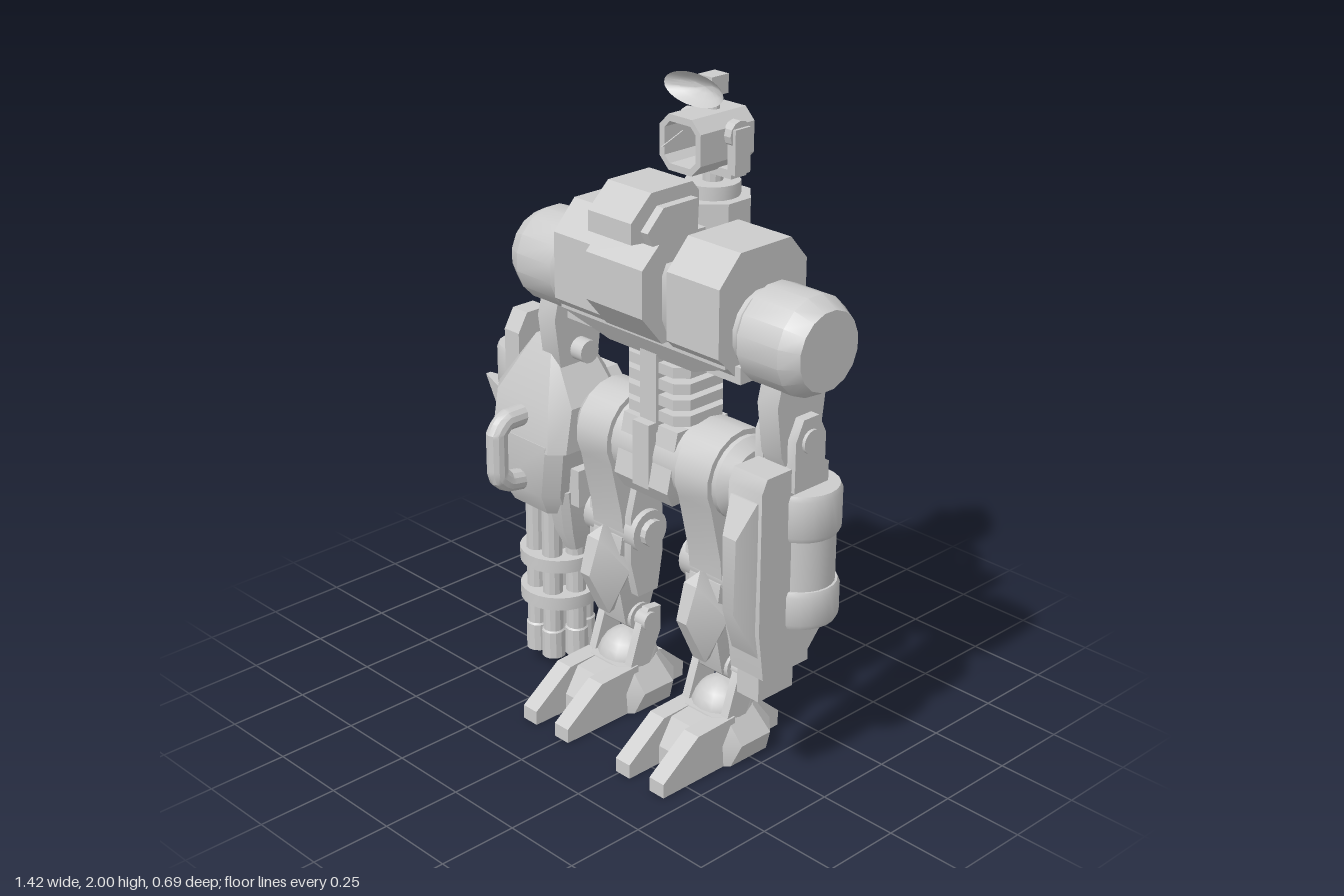
import * as THREE from 'three';
import { toCreasedNormals } from 'three/addons/utils/BufferGeometryUtils.js';
import { ConvexGeometry } from 'three/addons/geometries/ConvexGeometry.js';

const C = 0.132; // x of the body's own mirror plane
const mat = new THREE.MeshStandardMaterial({ color: 0xcccccc, side: THREE.DoubleSide });

function add(parent, name, geo, x = 0, y = 0, z = 0) {
  const m = new THREE.Mesh(toCreasedNormals(geo, 0.5), mat);
  m.name = name;
  m.position.set(x, y, z);
  parent.add(m);
  return m;
}
function group(parent, name, x = 0) {
  const g = new THREE.Group();
  g.name = name;
  g.position.x = x;
  parent.add(g);
  return g;
}
const box = (w, h, d) => new THREE.BoxGeometry(w, h, d);
const cyl = (r, h, n = 24, r2 = r) => new THREE.CylinderGeometry(r2, r, h, n);
const cylX = (r, h, n = 24) => cyl(r, h, n).rotateZ(Math.PI / 2);
const vec2 = (pts) => pts.map(([a, b]) => new THREE.Vector2(a, b));
const shapeOf = (pts) => new THREE.Shape(vec2(pts));
const hull = (pts) => new ConvexGeometry(pts.map((p) => new THREE.Vector3(...p)));

// Side profile of [z, y] points given a width along x
function prism(pts, w) {
  return new THREE.ExtrudeGeometry(shapeOf(pts), { depth: w, bevelEnabled: false })
    .translate(0, 0, -w / 2).rotateY(-Math.PI / 2);
}
// Convex solid from level sections [y, x0, x1, z0, z1, corner cut]
function loft(sections) {
  const p = [];
  for (const [y, x0, x1, z0, z1, c = 0] of sections)
    for (const [x, s] of [[x0, 1], [x1, -1]])
      for (const [z, t] of [[z0, 1], [z1, -1]]) p.push([x + s * c, y, z], [x, y, z + t * c]);
  return hull(p);
}
// Lathe of [radius, axial] points turned to lie along x
const latheX = (pts, n) => new THREE.LatheGeometry(vec2(pts), n).rotateY(Math.PI / n).rotateZ(-Math.PI / 2);
// Straight-run pipe with chamfered corners
function pipe(pts, r, n) {
  const path = new THREE.CurvePath();
  const v = pts.map((p) => new THREE.Vector3(...p));
  for (let i = 1; i < v.length; i++) path.add(new THREE.LineCurve3(v[i - 1], v[i]));
  return new THREE.TubeGeometry(path, 40, r, n, false);
}

function buildHead(root) {
  const g = group(root, 'head', C);
  const frame = shapeOf([[-0.045, -0.08], [0.045, -0.08], [0.08, -0.045], [0.08, 0.045], [0.045, 0.08], [-0.045, 0.08], [-0.08, 0.045], [-0.08, -0.045]]);
  frame.holes.push(shapeOf([[-0.04, -0.06], [-0.06, -0.04], [-0.06, 0.04], [-0.04, 0.06], [0.04, 0.06], [0.06, 0.04], [0.06, -0.04], [0.04, -0.06]]));
  add(g, 'headShell', new THREE.ExtrudeGeometry(frame, { depth: 0.19, bevelEnabled: false }), 0, 1.805, -0.2);
  add(g, 'headBack', loft([[-0.08, -0.045, 0.045, -0.03, 0.05], [-0.045, -0.08, 0.08, -0.03, 0.05], [0.045, -0.08, 0.08, -0.03, 0.05], [0.08, -0.045, 0.045, -0.03, 0.05]]), 0, 1.805, -0.19);
  add(g, 'headFin', prism([[-0.02, 1.845], [0.06, 1.815], [-0.02, 1.805]], 0.004));
  for (const s of [-1, 1]) {
    add(g, 'headBracket', box(0.03, 0.13, 0.06), s * 0.1, 1.785, -0.14);
    add(g, 'headPivot', cylX(0.04, 0.03, 12), s * 0.09, 1.83, -0.14);
  }
  add(g, 'yoke', box(0.2, 0.025, 0.06), 0, 1.72, -0.14);
  add(g, 'neck', cyl(0.03, 0.1, 12), 0, 1.7, -0.14);
  // Dish antenna, open to the front
  const dish = vec2([[0, 0], [0.04, 0.006], [0.08, 0.022], [0.115, 0.045]]);
  add(g, 'dish', new THREE.LatheGeometry(dish, 28).rotateX(Math.PI / 2).scale(1, 0.41, 1), 0, 1.952, -0.105);
  add(g, 'dishMount', box(0.055, 0.055, 0.065), 0, 1.955, -0.137);
  add(g, 'mast', cyl(0.018, 0.08, 10), 0, 1.9, -0.14);
}

function buildTorso(root) {
  const g = group(root, 'torso', C);
  const oct = [[0.165, 1.515], [0.085, 1.6], [-0.11, 1.6], [-0.175, 1.525], [-0.175, 1.315], [-0.08, 1.24], [0.09, 1.24], [0.165, 1.315]];
  const core = oct.map(([z, y]) => [z * 0.93, 1.4 + (y - 1.4) * 0.65]);
  add(g, 'torsoCore', prism(core, 0.4));
  for (const s of [-1, 1]) {
    add(g, 'shoulderBlock', prism(oct, 0.2), s * 0.23);
    // Shoulder drum with tapered ends
    const drum = latheX([[0, 0.32], [0.115, 0.32], [0.115, 0.345], [0.145, 0.375], [0.145, 0.522], [0.115, 0.578], [0, 0.578]], 16);
    if (s < 0) drum.rotateY(Math.PI);
    add(g, 'shoulderDrum', drum, 0, 1.367, 0);
    add(g, 'skirtFin', box(0.14, 0.05, 0.2), s * 0.28, 1.255, 0);
  }
  add(g, 'chestPlate', prism([[0, 1.6], [0.165, 1.6], [0.24, 1.53], [0.24, 1.39], [0.165, 1.3], [0, 1.3]], 0.225));
  add(g, 'chestSidePlate', prism([[0, 1.53], [0.15, 1.53], [0.165, 1.5], [0.165, 1.37], [0.14, 1.31], [0, 1.31]], 0.32));
  add(g, 'chestHood', prism([[0.05, 1.58], [0.255, 1.6], [0.255, 1.66], [0.18, 1.73], [0.025, 1.73], [0, 1.7], [0, 1.62], [0.05, 1.62]], 0.17));
  add(g, 'hoodSides', prism([[0.05, 1.59], [0.2, 1.59], [0.22, 1.63], [0.16, 1.69], [0.03, 1.69], [0.03, 1.6]], 0.225));
  add(g, 'skirt', loft([[1.31, -0.33, 0.33, -0.13, 0.14], [1.28, -0.33, 0.33, -0.13, 0.14], [1.215, -0.17, 0.17, -0.1, 0.1]]));
  // Back column with its carrying rails
  add(g, 'backColumn', cyl(0.115, 0.42, 8).rotateY(Math.PI / 8), 0, 1.43, -0.14);
  add(g, 'columnBand', cyl(0.138, 0.15, 8).rotateY(Math.PI / 8), 0, 1.44, -0.14);
  add(g, 'columnFoot', cyl(0.12, 0.04, 8), 0, 1.21, -0.15);
  add(g, 'columnTip', cyl(0.06, 0.1, 8), 0, 1.16, -0.195);
  add(g, 'collar', cyl(0.08, 0.07, 16), 0, 1.645, -0.14);
  for (const y of [1.44, 1.32])
    add(g, 'backRail', pipe([[-0.175, y, -0.14], [-0.175, y, -0.26], [-0.11, y, -0.318], [0.11, y, -0.318], [0.175, y, -0.26], [0.175, y, -0.14]], 0.028, 8));
}

function buildWaist(root) {
  const g = group(root, 'waist', C);
  add(g, 'spine', cyl(0.07, 0.3, 12), 0, 1.12, 0);
  add(g, 'spineStrip', box(0.065, 0.24, 0.04), 0, 1.11, 0.09);
  for (let i = 0; i < 4; i++) add(g, 'spineDisc', loft([[-0.016, -0.125, 0.125, -0.1, 0.1, 0.035], [0.016, -0.125, 0.125, -0.1, 0.1, 0.035]]), 0, 1.04 + i * 0.049, 0);
  add(g, 'pelvis', loft([[1.01, -0.11, 0.11, -0.1, 0.1], [0.83, -0.11, 0.11, -0.14, 0.14], [0.78, -0.1, 0.1, -0.11, 0.11]]));
  add(g, 'pelvisStrip', box(0.065, 0.2, 0.03), 0, 0.92, 0.125);
  add(g, 'hipDrum', latheX([[0, -0.32], [0.095, -0.32], [0.125, -0.285], [0.125, 0.285], [0.095, 0.32], [0, 0.32]], 24), 0, 0.9, 0);
}

function buildLeg(root, s) {
  const g = group(root, s > 0 ? 'leftLeg' : 'rightLeg', C + s * 0.205);
  // Thigh wraps over the hip drum and narrows to the knee
  const thigh = [[-0.055, 0.57], [0.075, 0.57], [0.085, 0.66]];
  for (let i = 0; i <= 12; i++) {
    const a = -0.5 + i * (Math.PI + 1) / 12;
    thigh.push([0.142 * Math.cos(a), 0.9 + 0.142 * Math.sin(a)]);
  }
  thigh.push([-0.075, 0.68]);
  add(g, 'thigh', prism(thigh, 0.13));
  add(g, 'knee', cylX(0.068, 0.22), 0, 0.595, 0.01);
  add(g, 'kneeBolt', cylX(0.042, 0.262, 12), 0, 0.595, 0.01);
  for (const t of [-1, 1]) {
    add(g, 'kneeFork', prism([[-0.06, 0.65], [-0.03, 0.76], [0.04, 0.76], [0.07, 0.65], [0.07, 0.5], [0.04, 0.38], [-0.04, 0.38], [-0.06, 0.5]], 0.03), t * 0.075);
    add(g, 'ankleBracket', prism([[-0.05, 0.32], [0, 0.325], [0.03, 0.28], [0.075, 0.15], [0.0, 0.13], [-0.05, 0.24]], 0.028), t * 0.08);
  }
  add(g, 'shin', loft([[0.58, -0.062, 0.062, -0.07, 0.08], [0.45, -0.062, 0.062, -0.08, 0.1], [0.27, -0.045, 0.045, -0.04, 0.05]]));
  // Diamond shin guard
  add(g, 'shinGuard', hull([[0, 0.61, 0.1], [0.025, 0.58, 0.14], [-0.025, 0.58, 0.14], [0.095, 0.48, 0.08], [-0.095, 0.48, 0.08], [0.02, 0.47, 0.175], [-0.02, 0.47, 0.175], [0.025, 0.32, 0.1], [-0.025, 0.32, 0.1], [0, 0.31, 0.05], [0, 0.58, 0.05]]));
  add(g, 'anklePin', cylX(0.03, 0.21, 14), 0, 0.285, 0);
  add(g, 'ankleHub', cylX(0.045, 0.12, 16), 0, 0.285, 0);
  add(g, 'ankleDome', new THREE.SphereGeometry(0.095, 16, 6, 0, Math.PI * 2, 0, Math.PI / 2), 0, 0.13, 0);
  // Foot
  add(g, 'footBody', loft([[0, -0.115, 0.115, -0.12, 0.13, 0.05], [0.07, -0.14, 0.14, -0.12, 0.12, 0.06], [0.15, -0.085, 0.085, -0.07, 0.1, 0.03]]));
  add(g, 'heel', prism([[-0.05, 0], [-0.19, 0], [-0.19, 0.05], [-0.1, 0.13], [-0.05, 0.14]], 0.1));
  add(g, 'toeBridge', prism([[0.05, 0], [0.22, 0], [0.22, 0.06], [0.17, 0.14], [0.05, 0.15]], 0.09));
  for (const t of [-1, 1])
    add(g, 'toe', prism([[0.05, 0], [0.34, 0], [0.34, 0.045], [0.2, 0.145], [0.05, 0.15]], 0.058), t * 0.071);
}

// Upper arm link and elbow shared by both arms
function buildUpperArm(g, x) {
  add(g, 'upperArm', prism([[0.075, 1.28], [0.095, 1.2], [0.075, 1.05], [0.04, 0.98], [-0.04, 0.98], [-0.075, 1.05], [-0.095, 1.2], [-0.075, 1.28]], 0.075), x);
  add(g, 'elbowPin', cylX(0.036, 0.17, 16), x, 1.09, 0);
}

// Tank with a raised band over each [bottom, top] range
function canister(g, x, z, r, bands) {
  const [lo, hi] = [bands[0][0], bands[1][1]];
  add(g, 'canister', cyl(r * 0.88, hi - lo, 24), x, (lo + hi) / 2, z);
  for (const [a, b] of bands) {
    const p = [[0, a], [r * 0.94, a], [r, a + 0.015], [r, b - 0.015], [r * 0.94, b], [0, b]];
    add(g, 'canisterBand', new THREE.LatheGeometry(vec2(p), 24), x, 0, z);
  }
}

function buildLeftArm(root) {
  const g = group(root, 'leftArm');
  const x = 0.58;
  buildUpperArm(g, x);
  for (const s of [-1, 1]) add(g, 'elbowLug', prism([[-0.06, 0.95], [0.06, 0.95], [0.06, 1.1], [0.03, 1.16], [-0.03, 1.16], [-0.06, 1.1]], 0.03), x + s * 0.06);
  canister(g, 0.595, -0.035, 0.115, [[0.53, 0.645], [0.8, 0.94]]);
  // Forearm slab with a tapering keel in front
  add(g, 'forearm', prism([[-0.09, 1.0], [-0.06, 1.02], [0.155, 1.02], [0.175, 0.98], [0.175, 0.55], [0.155, 0.4], [0.0, 0.4], [-0.09, 0.5]], 0.125), x);
  add(g, 'keel', loft([[0.85, 0.555, 0.605, 0.1, 0.235], [0.62, 0.56, 0.6, 0.1, 0.235], [0.95, 0.53, 0.63, 0.1, 0.18], [0.47, 0.53, 0.63, 0.1, 0.165]]));
  add(g, 'muzzle', box(0.083, 0.17, 0.14), x, 0.405, 0.08);
  add(g, 'muzzleRear', box(0.06, 0.14, 0.09), x, 0.44, -0.02);
}

function buildGunArm(root) {
  const g = group(root, 'rightArm');
  const x = -0.383;
  buildUpperArm(g, -0.318);
  add(g, 'outerLug', prism([[-0.075, 0.9], [0.075, 0.9], [0.075, 1.1], [0.04, 1.16], [-0.04, 1.16], [-0.075, 1.1]], 0.065), -0.502);
  add(g, 'gunCowl', loft([[1.12, -0.405, -0.335, -0.06, 0.06], [0.94, -0.535, -0.205, -0.135, 0.15, 0.05], [0.8, -0.535, -0.205, -0.135, 0.165, 0.04]]));
  add(g, 'gunHousing', loft([[0.82, -0.525, -0.215, -0.135, 0.165, 0.04], [0.65, -0.5, -0.235, -0.135, 0.165, 0.04], [0.58, -0.48, -0.25, -0.12, 0.13, 0.04]]));
  add(g, 'housingWedge', loft([[0.66, -0.33, -0.225, -0.11, 0.12, 0.02], [0.52, -0.31, -0.23, -0.1, 0.1, 0.02], [0.45, -0.285, -0.24, -0.07, 0.07, 0.01]]));
  add(g, 'innerBox', box(0.07, 0.12, 0.12), -0.225, 0.68, 0.03);
  canister(g, -0.562, -0.03, 0.088, [[0.6, 0.7], [0.88, 1.02]]);
  add(g, 'canisterEnd', cyl(0.05, 0.1, 16, 0.075), -0.55, 0.57, -0.03);
  add(g, 'elbowSpike', hull([[-0.71, 0.88, -0.01], [-0.71, 0.88, 0.01], [-0.58, 0.86, -0.07], [-0.58, 0.86, 0.04], [-0.58, 0.7, -0.05], [-0.58, 0.7, 0.03]]));
  // Rear plate with two vent stacks
  const plate = shapeOf([[-0.52, 0.6], [-0.49, 0.55], [-0.27, 0.55], [-0.22, 0.61], [-0.22, 0.94], [-0.27, 1.0], [-0.49, 1.0], [-0.52, 0.95]]);
  add(g, 'rearPlate', new THREE.ExtrudeGeometry(plate, { depth: 0.04, bevelEnabled: false }), 0, 0, -0.145);
  for (const y of [0.64, 0.86])
    for (let i = 0; i < 3; i++) add(g, 'vent', box(0.085, 0.02, 0.03), -0.36, y + i * 0.03, -0.14);
  add(g, 'frontHandle', pipe([[-0.372, 0.89, 0.1], [-0.372, 0.89, 0.22], [-0.372, 0.86, 0.252], [-0.372, 0.72, 0.252], [-0.372, 0.69, 0.22], [-0.372, 0.67, 0.1]], 0.033, 12));
  // Rotary barrels
  add(g, 'barrelCore', cyl(0.04, 0.5, 12), x, 0.36, 0);
  const tube = vec2([[0, 0.1], [0.024, 0.1], [0.026, 0.045], [0.037, 0.045], [0.037, 0.135], [0.032, 0.14], [0.032, 0.6]]);
  for (let i = 0; i < 6; i++) {
    const a = (i * Math.PI) / 3;
    add(g, 'barrel', new THREE.LatheGeometry(tube, 12), x + 0.074 * Math.cos(a), 0, 0.074 * Math.sin(a));
  }
  for (const y of [0.378, 0.248]) add(g, 'barrelRing', cyl(0.125, 0.043, 24), x, y, 0);
}

export function createModel() {
  const root = new THREE.Group();
  root.name = 'walker';
  buildHead(root);
  buildTorso(root);
  buildWaist(root);
  for (const s of [-1, 1]) buildLeg(root, s);
  buildLeftArm(root);
  buildGunArm(root);
  return root;
}
